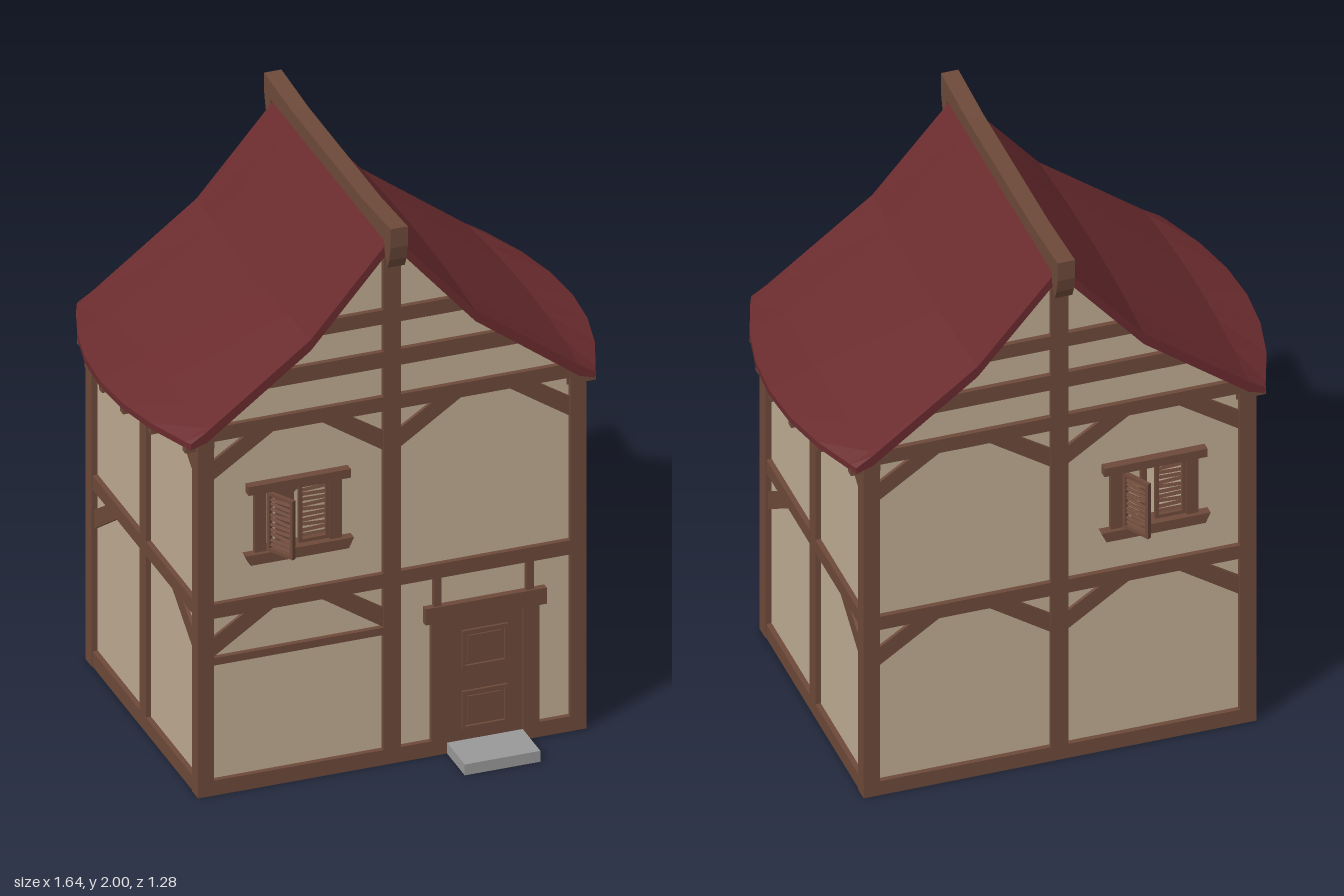
import * as THREE from 'three';

const mat = (name, color) => {
  const m = new THREE.MeshStandardMaterial({ color });
  m.name = name;
  return m;
};

export function createModel() {
  const timber = mat('timber brown', 0x6e4a3a);
  const plaster = mat('plaster tan', 0xbfac92);
  const roofRed = mat('roof red', 0x6a2b2e);
  const stone = mat('stone grey', 0x999999);

  const house = new THREE.Group();
  house.name = 'house';
  const HW = 0.67, HD = 0.511, ZC = -0.026, T = 0.05;

  // --- helpers: box by extents, and extruded polygon (z0..z1) with an optional hole
  const add = (g, name, geo, m) => {
    const mesh = new THREE.Mesh(geo, m);
    mesh.name = name;
    g.add(mesh);
    return mesh;
  };
  const box = (g, name, x0, x1, y0, y1, z0 = -T, z1 = 0, m = timber) => {
    const b = add(g, name, new THREE.BoxGeometry(x1 - x0, y1 - y0, z1 - z0), m);
    b.position.set((x0 + x1) / 2, (y0 + y1) / 2, (z0 + z1) / 2);
    return b;
  };
  const vecs = pts => pts.map(p => new THREE.Vector2(...p));
  const rect = (x0, x1, y0, y1) => [[x0, y0], [x1, y0], [x1, y1], [x0, y1]];
  const poly = (g, name, pts, z0, z1, m = timber, hole) => {
    const s = new THREE.Shape(vecs(pts));
    if (hole) s.holes.push(new THREE.Path(vecs(hole)));
    const geo = new THREE.ExtrudeGeometry(s, { depth: z1 - z0, bevelEnabled: false });
    return add(g, name, geo.translate(0, 0, z0), m);
  };
  // diagonal brace in the corner below a beam; dir is the way it runs from the post
  const brace = (g, u, top, dir) => poly(g, 'brace',
    [[u, top - 0.145], [u + dir * 0.215, top], [u + dir * 0.115, top], [u, top - 0.075]], -T, -0.006);

  // each wall is built in its own frame: x along the wall, z outward
  const wallFrame = (name, x, z, ry) => {
    const g = new THREE.Group();
    g.name = name;
    g.position.set(x, 0, z);
    g.rotation.y = ry;
    house.add(g);
    return g;
  };

  // half width under the roof at height y, on the gables
  const underX = y => y > 1.575 ? (1.905 - y) / 0.33 * 0.285 : 0.285 + (1.575 - y) / 0.27 * 0.36;

  // --- louvred shutter, hinged on its left edge
  const shutter = (g, name, w) => {
    const s = new THREE.Group();
    s.name = name;
    g.add(s);
    const h = 0.215, f = 0.012;
    for (const x of [0, w - f]) box(s, 'shutterStile', x, x + f, 0, h, -0.007, 0.007);
    for (const y of [0, h - f]) box(s, 'shutterRail', 0, w, y, y + f, -0.007, 0.007);
    for (let i = 0; i < 10; i++) {
      const slat = box(s, 'slat', 0.006, w - 0.006, 0.019 + i * 0.0185, 0.03 + i * 0.0185, -0.003, 0.003);
      slat.rotation.set(-0.4, 0, 0.05 * Math.sin(i * 2.3));
    }
    return s;
  };

  const windowUnit = (wall, u) => {
    const g = new THREE.Group();
    g.name = 'window';
    g.position.x = u;
    wall.add(g);
    for (const s of [-1, 1]) box(g, 'windowJamb', s * 0.13 - 0.02, s * 0.13 + 0.02, 0.86, 1.09, -T, 0);
    box(g, 'windowLintel', -0.177, 0.177, 1.085, 1.117, -T, 0.012);
    poly(g, 'windowSill', [[-0.17, 0.828], [0.17, 0.828], [0.187, 0.865], [-0.187, 0.865]], -T, 0.014);
    const open = shutter(g, 'openShutter', 0.108);
    open.position.set(-0.105, 0.868, 0);
    open.rotation.y = -Math.PI / 3;
    shutter(g, 'closedShutter', 0.105).position.set(0.005, 0.868, -0.014);
  };

  // --- front and back gable walls
  const gable = (name, z, ry, winU) => {
    const g = wallFrame(name, 0, z, ry);
    poly(g, 'plasterWall', [[-0.64, 0.01], [0.64, 0.01], [0.64, 1.32], [0.285, 1.59], [0, 1.92],
      [-0.285, 1.59], [-0.64, 1.32]], -0.035, -0.018, plaster,
      rect(winU - 0.112, winU + 0.112, 0.862, 1.09));
    box(g, 'centrePost', -0.03, 0.03, 0, 1.87);
    box(g, 'middleBeam', -0.62, 0.62, 0.65, 0.702);
    for (const [y0, y1] of [[1.3, 1.352], [1.46, 1.518], [1.62, 1.672]]) {
      const a = underX(y0) + 0.01, b = underX(y1) + 0.01;
      poly(g, 'gableBeam', [[-a, y0], [a, y0], [b, y1], [-b, y1]], -T, 0);
    }
    for (const s of [-1, 1]) {
      brace(g, s * 0.62, 1.3, -s);
      brace(g, s * 0.03, 1.3, s);
    }
    windowUnit(g, winU);
    return g;
  };
  const front = gable('frontWall', ZC + HD, 0, -0.325);
  const back = gable('backWall', ZC - HD, Math.PI, 0.325);

  // lower timbers differ between front and back
  box(back, 'sillBeam', -0.62, 0.62, 0, 0.055);
  for (const s of [-1, 1]) {
    brace(back, s * 0.62, 0.65, -s);
    brace(back, s * 0.03, 0.65, s);
  }
  box(front, 'sillBeam', -0.62, 0.14, 0, 0.055);
  box(front, 'sillBeam', 0.5, 0.62, 0, 0.055);
  box(front, 'lowerRail', -0.62, -0.03, 0.478, 0.505);
  brace(front, -0.62, 0.65, 1);
  brace(front, -0.03, 0.65, -1);

  // --- door with frame, two moulded panels and step
  const door = new THREE.Group();
  door.name = 'door';
  front.add(door);
  box(door, 'doorLeaf', 0.18, 0.465, 0, 0.5, -0.045, -0.01);
  for (const x of [0.135, 0.455]) box(door, 'doorPost', x, x + 0.055, 0, 0.495);
  for (const x of [0.145, 0.465]) box(door, 'doorStud', x, x + 0.026, 0.54, 0.655);
  box(door, 'doorLintel', 0.113, 0.533, 0.488, 0.547, -T, 0.006);
  for (const y of [0.075, 0.298]) {
    poly(door, 'panelMoulding', rect(0.243, 0.402, y, y + 0.14), -0.012, -0.001, timber,
      rect(0.254, 0.391, y + 0.011, y + 0.129));
    box(door, 'doorPanel', 0.265, 0.38, y + 0.022, y + 0.118, -0.012, -0.005);
  }
  box(house, 'doorStep', 0.19, 0.452, 0, 0.04, 0.485, 0.645, stone);

  // --- side walls
  for (const s of [-1, 1]) {
    const g = wallFrame(s > 0 ? 'leftWall' : 'rightWall', s * HW, ZC, s * Math.PI / 2);
    box(g, 'plasterWall', -0.48, 0.48, 0.01, 1.32, -0.035, -0.018, plaster);
    box(g, 'sidePost', -0.029, 0.029, 0, 1.31);
    for (const [y0, y1] of [[0, 0.055], [0.65, 0.702], [1.3, 1.322]])
      box(g, 'sideBeam', -0.46, 0.46, y0, y1);
    for (const e of [-1, 1]) for (const top of [1.3, 0.65]) brace(g, e * 0.455, top, -e);
  }

  // --- corner posts
  for (const sx of [-1, 1]) for (const sz of [-1, 1]) {
    const p = box(house, 'cornerPost', -0.028, 0.028, 0, 1.305, -0.028, 0.028);
    p.position.x = sx * (HW - 0.025);
    p.position.z = ZC + sz * (HD - 0.028);
  }

  // --- roof: cross-sections swept along z, with eaves that bulge in the middle
  const eaveX = t => 0.7 + 0.12 * (1 - t * t);
  const section = t => {
    const b = 1 - t * t;
    const half = [[0, 1.945, 0.04], [0.285 + 0.015 * b, 1.615, 0.04],
      [0.645 + 0.015 * b, 1.345 + 0.018 * b, 0.04], [eaveX(t), 1.31, 0.022]];
    const all = [...half.slice(1).reverse().map(([x, y, d]) => [-x, y, d]), ...half];
    const z = ZC + t * 0.518;
    return [...all.map(([x, y]) => [x, y, z]), ...all.reverse().map(([x, y, d]) => [x, y - d, z])];
  };
  const rings = [-1, -0.95, -0.64, -0.32, 0, 0.32, 0.64, 0.95, 1].map(section);
  const pos = [];
  const quad = (a, b, c, d) => pos.push(...a, ...b, ...c, ...a, ...c, ...d);
  for (let i = 0; i < rings.length - 1; i++) {
    const p = rings[i], q = rings[i + 1];
    for (let j = 0; j < 14; j++) {
      const k = (j + 1) % 14;
      quad(p[j], q[j], q[k], p[k]);
    }
  }
  const first = rings[0], last = rings[rings.length - 1];
  for (let j = 0; j < 6; j++) {
    quad(last[j], last[13 - j], last[12 - j], last[j + 1]);
    quad(first[j], first[j + 1], first[12 - j], first[13 - j]);
  }
  const roofGeo = new THREE.BufferGeometry();
  roofGeo.setAttribute('position', new THREE.Float32BufferAttribute(pos, 3));
  roofGeo.computeVertexNormals();
  add(house, 'roof', roofGeo, roofRed);

  // --- rafter tails under the eaves
  for (let i = -3; i <= 3; i++) {
    const z = ZC + i * 0.161, end = eaveX(i * 0.161 / 0.518) - 0.004;
    for (const s of [-1, 1]) {
      const r = box(house, 'rafterTail', 0.61, end, 1.268, 1.298, -0.014, 0.014);
      r.position.x *= s;
      r.position.z = z;
    }
  }

  // --- ridge beam with hooked ends, outlined lengthwise and turned along z
  const end = [[0.326, 2 - 0.015], [0.574, 2], [0.574, 1.93], [0.562, 1.88], [0.546, 1.845], [0.522, 1.885], [0.515, 1.93]];
  const ridge = poly(house, 'ridgeBeam', [...end, ...end.map(([x, y]) => [-x, y]).reverse()], -0.03, 0.03);
  ridge.rotation.y = -Math.PI / 2;
  ridge.position.z = ZC;

  return house;
}
